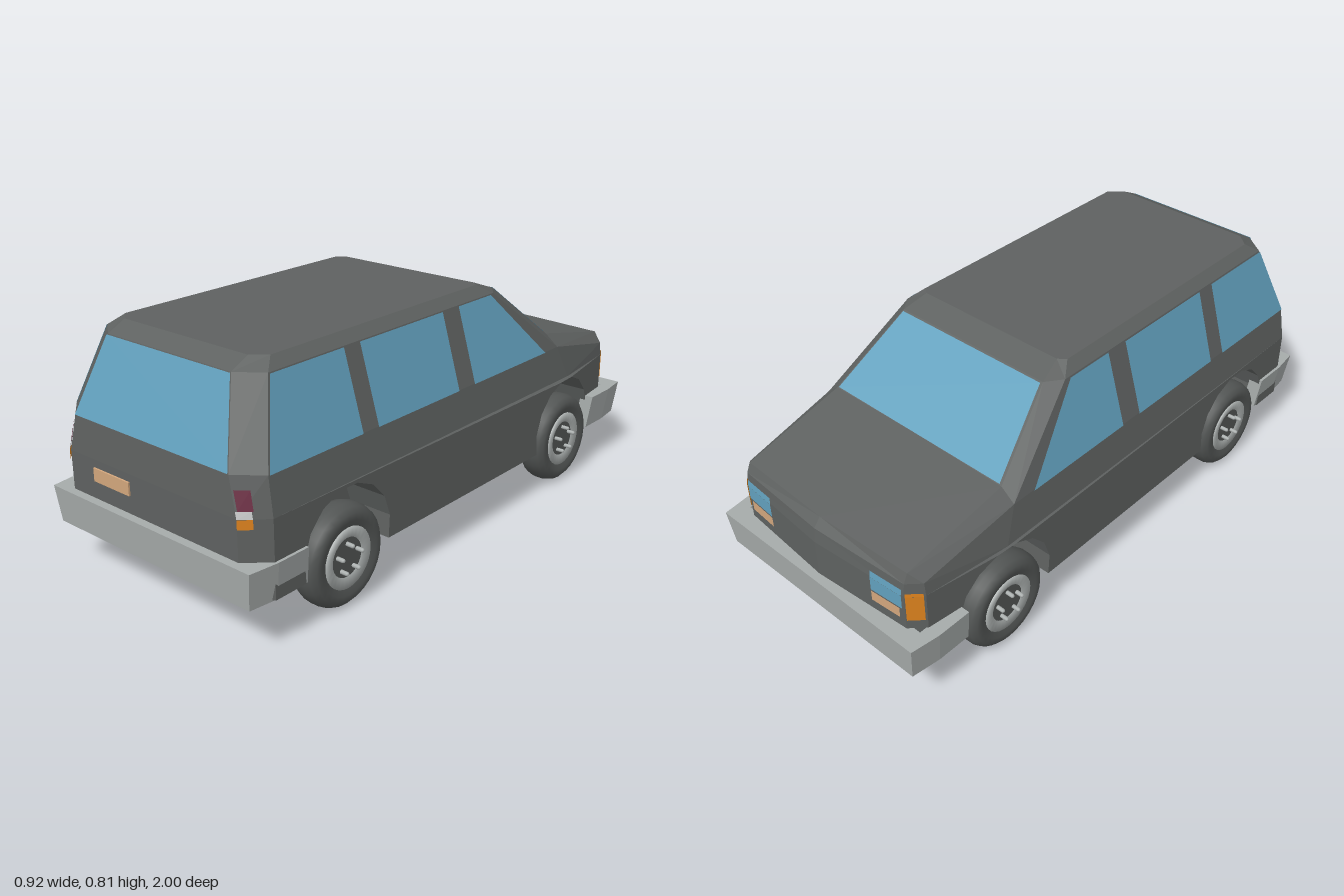
import * as THREE from 'three';

const mat = (name, color, side = THREE.FrontSide) => {
  const m = new THREE.MeshStandardMaterial({ color, side });
  m.name = name;
  return m;
};
const V = (x, y, z) => new THREE.Vector3(x, y, z);
const CENTRE = V(0, 0.35, 0);

// Flat-faced mesh from polygons, each turned to face away from the body centre
function facets(name, material, polys, mirror = true) {
  const pos = [];
  const all = mirror ? polys.concat(polys.map(p => p.map(v => V(-v.x, v.y, v.z)))) : polys;
  for (const p of all) {
    for (let i = 1; i < p.length - 1; i++) {
      let [a, b, c] = [p[0], p[i], p[i + 1]];
      const n = b.clone().sub(a).cross(c.clone().sub(a));
      const mid = a.clone().add(b).add(c).divideScalar(3).sub(CENTRE);
      if (n.dot(mid) < 0) [b, c] = [c, b];
      for (const v of [a, b, c]) pos.push(v.x, v.y, v.z);
    }
  }
  const g = new THREE.BufferGeometry();
  g.setAttribute('position', new THREE.Float32BufferAttribute(pos, 3));
  g.computeVertexNormals();
  const mesh = new THREE.Mesh(g, material);
  mesh.name = name;
  return mesh;
}

// Part of a four-cornered face, lifted slightly off it
function patch([a, b, c, d], u0, u1, v0, v1, lift = 0.004) {
  const at = (u, v) => a.clone().lerp(b, u).lerp(d.clone().lerp(c, u), v);
  const n = c.clone().sub(a).cross(d.clone().sub(b)).normalize();
  if (n.dot(a.clone().add(c).multiplyScalar(0.5).sub(CENTRE)) < 0) n.negate();
  return [at(u0, v0), at(u1, v0), at(u1, v1), at(u0, v1)].map(p => p.addScaledVector(n, lift));
}

export function createModel() {
  const car = new THREE.Group();
  car.name = 'van';
  const body = mat('body grey', 0x5e6160, THREE.DoubleSide);
  const glass = mat('window blue', 0x62a0bd, THREE.DoubleSide);
  const bumperMat = mat('bumper grey', 0xa6abaa);
  const tyreMat = mat('tyre grey', 0x525554);
  const rimMat = mat('rim grey', 0xabb0af, THREE.DoubleSide);
  const amber = mat('amber', 0xdc821e, THREE.DoubleSide);
  const tan = mat('tan', 0xd2a67c, THREE.DoubleSide);
  const red = mat('tail red', 0x6d2f45, THREE.DoubleSide);
  const white = mat('lamp white', 0xc6c8c8, THREE.DoubleSide);
  const add = (...a) => car.add(facets(...a));
  const flip = v => V(-v.x, v.y, v.z);

  // Half-outline rows: tail inner, tail outer, side front, nose outer, nose inner, nose centre
  const row = y => [V(0.367, y, 0.972), V(0.44, y, 0.905), V(0.44, y, -0.6),
    V(0.405, y, -0.9), V(0.36, y, -0.945), V(0, y, -0.972)];
  const r0 = row(0.16), r1 = row(0.41);
  const r2 = [V(0.335, 0.53, 0.965), V(0.42, 0.53, 0.9), V(0.42, 0.53, -0.55),
    V(0.4, 0.455, -0.9), V(0.36, 0.455, -0.94), V(0, 0.46, -0.965)];
  const quad = (lo, hi, i) => [lo[i], lo[i + 1], hi[i + 1], hi[i]];

  // Lower shell: tail, corners, nose
  add('tailPanel', body, [[r0[0], flip(r0[0]), flip(r1[0]), r1[0]], [r1[0], flip(r1[0]), flip(r2[0]), r2[0]]], false);
  add('cornersAndNose', body, [0, 3, 4].flatMap(i => [quad(r0, r1, i), quad(r1, r2, i)]));
  add('shoulders', body, [quad(r1, r2, 1), quad(r1, r2, 2)]);

  // Sides with wheel arches
  const sideX = z => z > -0.6 ? 0.44 : THREE.MathUtils.lerp(0.44, 0.405, (-0.6 - z) / 0.3);
  const arch = c => Array.from({ length: 10 }, (_, i) => {
    const a = Math.PI + 0.267 - i / 9 * (Math.PI + 0.534);
    return new THREE.Vector2(c + 0.19 * Math.cos(a), 0.21 + 0.19 * Math.sin(a));
  });
  const outline = [new THREE.Vector2(-0.9, 0.16), ...arch(-0.6), ...arch(0.6),
    new THREE.Vector2(0.905, 0.16), new THREE.Vector2(0.905, 0.41), new THREE.Vector2(-0.9, 0.41)];
  const tris = THREE.ShapeUtils.triangulateShape(outline, []);
  add('lowerSides', body, tris.map(t => t.map(i => V(sideX(outline[i].x), outline[i].y, outline[i].x))));

  // Wheel wells
  const wells = [];
  for (const c of [-0.6, 0.6]) {
    const p = arch(c);
    wells.push(p.map(q => V(0.28, q.y, q.x)));
    for (let i = 0; i < p.length - 1; i++) {
      const [a, b] = [p[i], p[i + 1]];
      wells.push([V(0.28, a.y, a.x), V(0.28, b.y, b.x), V(sideX(b.x), b.y, b.x), V(sideX(a.x), a.y, a.x)]);
    }
  }
  add('wheelWells', body, wells);

  // Floor, notched at the wheels
  const strips = [[-0.9, -0.783], [-0.417, 0.417], [0.783, 0.905]].map(([a, b]) =>
    [V(0.28, 0.16, a), V(sideX(a), 0.16, a), V(sideX(b), 0.16, b), V(0.28, 0.16, b)]);
  strips.push([V(0, 0.16, -0.96), V(0.28, 0.16, -0.95), V(0.28, 0.16, 0.97), V(0, 0.16, 0.97)]);
  add('floor', body, strips);

  // Bonnet
  const cowl = V(0.37, 0.57, -0.55), lip = V(0.36, 0.487, -0.925), lipMid = V(0, 0.49, -0.94);
  add('bonnet', body, [[cowl, lip, lipMid, V(0, 0.575, -0.55)], [r2[2], r2[3], lip, cowl],
    [r2[3], r2[4], lip], [r2[4], r2[5], lipMid, lip]]);

  // Cabin and roof
  const tailTop = V(0.265, 0.78, 0.875), sideBack = V(0.345, 0.78, 0.815);
  const sideFront = V(0.345, 0.78, -0.24), screenTop = V(0.305, 0.78, -0.295);
  const roof = [V(0.265, 0.812, 0.81), V(0.31, 0.812, 0.77), V(0.31, 0.812, -0.19), V(0.285, 0.812, -0.21)];
  const eaves = [tailTop, sideBack, sideFront, screenTop];
  const screen = [cowl, flip(cowl), flip(screenTop), screenTop];
  const tailGate = [r2[0], flip(r2[0]), flip(tailTop), tailTop];
  add('cabinSides', body, [[r2[0], r2[1], sideBack, tailTop], [r2[1], r2[2], sideFront, sideBack],
    [r2[2], cowl, screenTop, sideFront]]);
  add('cabinEnds', body, [screen, tailGate], false);
  add('roofEdges', body, [0, 1, 2].map(i => quad(eaves, roof, i)));
  add('roof', body, [[...roof, ...roof.map(flip).reverse()],
    [tailTop, flip(tailTop), flip(roof[0]), roof[0]],
    [screenTop, flip(screenTop), flip(roof[3]), roof[3]]], false);

  // Glass
  add('windscreen', glass, [patch(screen, 0.01, 0.99, 0.01, 0.98)], false);
  add('rearWindow', glass, [patch(tailGate, 0, 1, 0.005, 0.99)], false);
  const pane = (zb0, zb1, zt0, zt1) => [V(0.424, 0.53, zb0), V(0.424, 0.53, zb1),
    V(0.35, 0.778, zt1), V(0.35, 0.778, zt0)];
  add('sideWindows', glass, [pane(0.898, 0.515, 0.814, 0.515), pane(0.445, 0.045, 0.445, 0.045),
    pane(-0.04, -0.465, -0.04, -0.22)]);

  // Lamps and number plate
  const v0 = y => (y - 0.16) / 0.25, v1 = y => (y - 0.41) / 0.12;
  const tailLo = quad(r0, r1, 0), tailHi = quad(r1, r2, 0);
  add('tailIndicators', amber, [patch(tailLo, 0, 0.45, v0(0.38), 1)]);
  add('reversingLamps', white, [patch(tailHi, 0, 0.45, 0, v1(0.432))]);
  add('tailLamps', red, [patch(tailHi, 0.06, 0.5, v1(0.432), v1(0.49))]);
  const nose = quad(r0, r1, 4);
  add('headlamps', glass, [patch(nose, 0.02, 0.36, v0(0.36), 1), patch(quad(r1, r2, 4), 0.02, 0.36, 0, 0.5)]);
  add('foglamps', tan, [patch(nose, 0.05, 0.36, v0(0.318), v0(0.355))]);
  add('frontIndicators', amber, [patch(quad(r0, r1, 3), 0.1, 0.95, v0(0.315), 1),
    patch(quad(r1, r2, 3), 0.1, 0.95, 0, 0.25)]);
  const plate = new THREE.Mesh(new THREE.BoxGeometry(0.165, 0.044, 0.008), tan);
  plate.name = 'numberPlate';
  plate.position.set(-0.17, 0.362, 0.974);
  car.add(plate);

  // Wrap-around bumpers, narrower at the bottom
  const half = [[0.45, 0.78], [0.45, 0.9], [0.437, 1]];
  const inner = [[0.4, 0.93], [0.4, 0.78]];
  const right = half.concat(half.map(([x, z]) => [-x, z]).reverse());
  const u = right.concat([[-0.4, 0.78], [-0.4, 0.93]], inner);
  const bumperGeo = new THREE.ExtrudeGeometry(new THREE.Shape(u.map(([x, z]) => new THREE.Vector2(x, -z))),
    { depth: 0.122, bevelEnabled: false });
  bumperGeo.rotateX(-Math.PI / 2).translate(0, 0.157, 0);
  const bp = bumperGeo.attributes.position;
  for (let i = 0; i < bp.count; i++) {
    if (bp.getY(i) < 0.2) bp.setXYZ(i, bp.getX(i) * 0.965, bp.getY(i), bp.getZ(i) * 0.99);
  }
  bumperGeo.computeVertexNormals();
  ['rearBumper', 'frontBumper'].forEach((name, i) => {
    const b = new THREE.Mesh(bumperGeo, bumperMat);
    b.name = name;
    b.rotation.y = i * Math.PI;
    car.add(b);
  });

  // Wheels: lathed around the axle
  const lathe = pts => new THREE.LatheGeometry(pts.map(p => new THREE.Vector2(...p)), 28).rotateZ(-Math.PI / 2);
  const tyreGeo = lathe([[0.095, -0.042], [0.12, -0.052], [0.142, -0.05], [0.157, -0.036], [0.164, -0.015],
    [0.164, 0.015], [0.157, 0.036], [0.142, 0.05], [0.12, 0.052], [0.095, 0.042]]);
  const rimGeo = lathe([[0.06, -0.036], [0.068, -0.044], [0.1, -0.046], [0.1, 0.046], [0.068, 0.044], [0.06, 0.036]]);
  const hubGeo = new THREE.CylinderGeometry(0.066, 0.066, 0.08, 24).rotateZ(Math.PI / 2);
  const lugGeo = new THREE.CapsuleGeometry(0.007, 0.125, 3, 8).rotateZ(Math.PI / 2);
  for (const x of [-0.392, 0.392]) for (const z of [-0.6, 0.6]) {
    const wheel = new THREE.Group();
    wheel.name = (z < 0 ? 'front' : 'rear') + (x < 0 ? 'Right' : 'Left') + 'Wheel';
    const part = (name, g, m) => {
      const p = new THREE.Mesh(g, m);
      p.name = name;
      wheel.add(p);
      return p;
    };
    part('tyre', tyreGeo, tyreMat);
    part('rim', rimGeo, rimMat);
    part('hub', hubGeo, tyreMat);
    for (let i = 0; i < 5; i++) {
      const a = Math.PI / 2 + i * Math.PI * 0.4;
      part('lug', lugGeo, rimMat).position.set(0, 0.045 * Math.sin(a), 0.045 * Math.cos(a));
    }
    wheel.position.set(x, 0.165, z);
    car.add(wheel);
  }
  return car;
}
